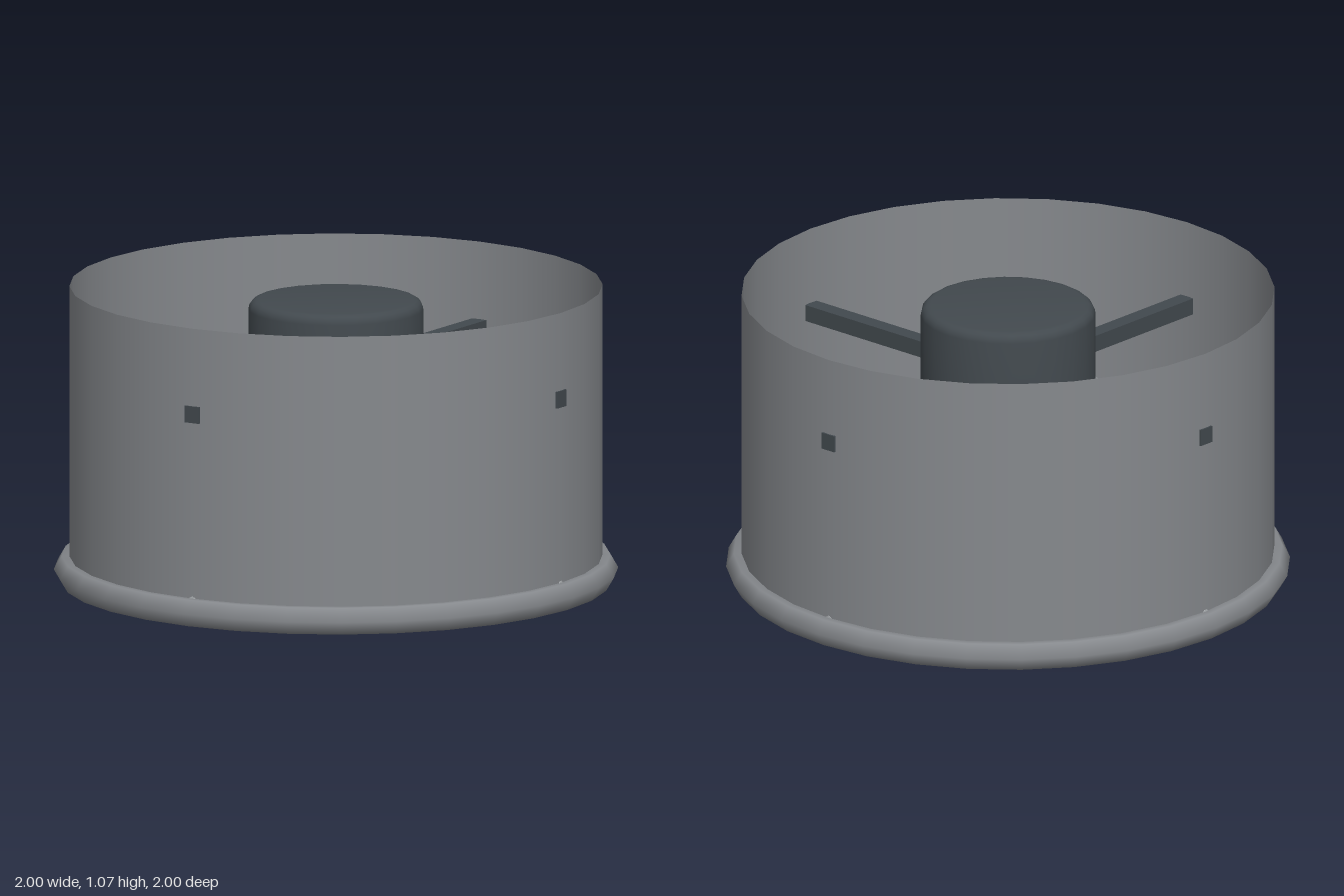
import * as THREE from 'three';
import { toCreasedNormals } from 'three/addons/utils/BufferGeometryUtils.js';

const material = (name, color, side = THREE.FrontSide) => {
  const m = new THREE.MeshStandardMaterial({ color, side });
  m.name = name;
  return m;
};

export function createModel() {
  const ductGrey = material('ductGrey', 0x86898d, THREE.DoubleSide);
  const bladeGrey = material('bladeGrey', 0x878b8e);
  const motorGrey = material('motorGrey', 0x42494e);
  const wireGrey = material('wireGrey', 0xb4b8bb);

  const model = new THREE.Group();
  model.name = 'ductFan';
  const add = (name, geometry, mat, y = 0, parent = model) => {
    const mesh = new THREE.Mesh(geometry, mat);
    mesh.name = name;
    mesh.position.y = y;
    parent.add(mesh);
    return mesh;
  };

  const R = 0.945;        // duct radius
  const lipY = 0.048;     // centre height of the rolled lip
  const top = 1.07;

  // Open duct with a six-sided rolled lip at the inlet
  add('duct', new THREE.CylinderGeometry(R, R, top - lipY, 32, 1, true), ductGrey, (top + lipY) / 2);
  add('inletLip', new THREE.TorusGeometry(R, 0.055, 6, 32).rotateX(Math.PI / 2), ductGrey, lipY);

  // Motor with a rounded top shoulder
  const r = 0.31, y0 = 0.54, y1 = 1.02, bevel = 0.035;
  const profile = [new THREE.Vector2(0, y0), new THREE.Vector2(r, y0)];
  for (let i = 0; i <= 4; i++) {
    const a = (i / 4) * Math.PI / 2;
    profile.push(new THREE.Vector2(r - bevel + bevel * Math.cos(a), y1 - bevel + bevel * Math.sin(a)));
  }
  profile.push(new THREE.Vector2(0, y1));
  add('motor', toCreasedNormals(new THREE.LatheGeometry(profile, 24), 0.6), motorGrey);

  // Crossed struts that pass just through the duct wall
  add('strutAcross', new THREE.BoxGeometry(1.9, 0.06, 0.06), motorGrey, 0.76);
  add('strutFrontBack', new THREE.BoxGeometry(0.06, 0.06, 1.9), motorGrey, 0.76);

  // Fan: hub and five pitched blades
  const fan = new THREE.Group();
  fan.name = 'fan';
  fan.position.y = 0.42;
  model.add(fan);
  add('fanHub', new THREE.CylinderGeometry(0.155, 0.155, 0.22, 20), motorGrey, 0.01, fan);
  for (let i = 0; i < 5; i++) {
    const arm = new THREE.Group();
    arm.name = 'bladeArm';
    arm.rotation.y = (i * 2 * Math.PI) / 5;
    fan.add(arm);
    const blade = add('blade', new THREE.BoxGeometry(0.73, 0.02, 0.24), bladeGrey, 0, arm);
    blade.position.x = 0.48;
    blade.rotation.x = Math.PI / 6;
  }

  // Wire guard: three rings and two crossing rods
  const guard = new THREE.Group();
  guard.name = 'wireGuard';
  guard.position.y = 0.09;
  model.add(guard);
  for (const ring of [0.27, 0.54, 0.81]) {
    add('guardRing', new THREE.TorusGeometry(ring, 0.014, 6, 32).rotateX(Math.PI / 2), wireGrey, 0, guard);
  }
  const rod = new THREE.CylinderGeometry(0.014, 0.014, 1.892, 6);
  add('guardRodAcross', rod, wireGrey, 0, guard).rotation.z = Math.PI / 2;
  add('guardRodFrontBack', rod, wireGrey, 0, guard).rotation.x = Math.PI / 2;

  return model;
}
